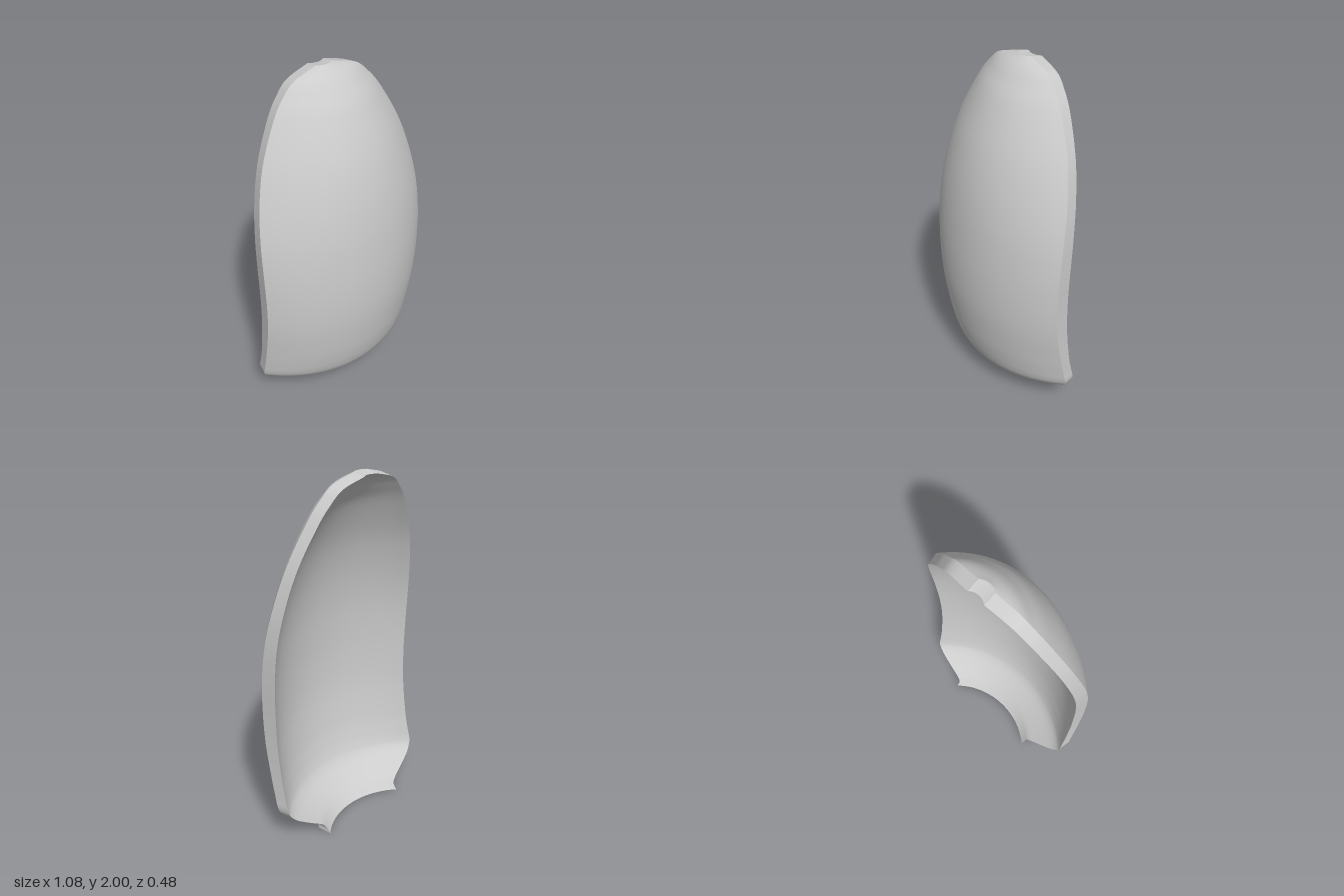
import * as THREE from 'three';

// Cross-sections from bottom to top:
// height, half width, front z (centre, edge), back z (centre, edge)
const SECTIONS = [
  [0, 0.3, -0.04, -0.155, -0.128, -0.236],
  [0.03, 0.304, -0.008, -0.143, -0.097, -0.211],
  [0.06, 0.33, 0.024, -0.131, -0.065, -0.2],
  [0.1, 0.402, 0.066, -0.116, -0.021, -0.184],
  [0.15, 0.485, 0.116, -0.1, 0.032, -0.165],
  [0.19, 0.525, 0.142, -0.086, 0.062, -0.151],
  [0.23, 0.538, 0.158, -0.074, 0.08, -0.142],
  [0.29, 0.538, 0.176, -0.058, 0.1, -0.126],
  [0.4, 0.538, 0.2, -0.033, 0.126, -0.102],
  [0.6, 0.538, 0.228, 0.004, 0.155, -0.076],
  [0.8, 0.538, 0.237, 0.017, 0.164, -0.068],
  [1.0, 0.538, 0.231, 0.01, 0.158, -0.073],
  [1.2, 0.528, 0.213, -0.014, 0.14, -0.09],
  [1.4, 0.496, 0.178, -0.052, 0.104, -0.12],
  [1.6, 0.437, 0.12, -0.092, 0.043, -0.155],
  [1.8, 0.336, 0.031, -0.13, -0.051, -0.194],
  [1.9, 0.26, -0.037, -0.148, -0.122, -0.213],
  [1.96, 0.188, -0.09, -0.157, -0.172, -0.225],
  [2.0, 0.05, -0.15, -0.169, -0.22, -0.238],
];

const curveThrough = (fn) =>
  new THREE.CatmullRomCurve3(SECTIONS.map(fn), false, 'catmullrom', 0.5);

// Normalised circular bulge: 0 at the centre line, 1 at the edge
const ARC = 0.7;
const sag = (s) => (1 - Math.sqrt(1 - (ARC * s) ** 2)) / (1 - Math.sqrt(1 - ARC * ARC));

// A curved face given by its centre line and edge line; inset narrows its outline
function face(centreIndex, edgeIndex, inset) {
  const height = (p) => p[0] - 0.5 * inset * Math.max(0, p[0] - 1);
  const centre = curveThrough((p) => new THREE.Vector3(0, height(p), p[centreIndex]));
  const edge = curveThrough((p) => new THREE.Vector3(p[1] * (1 - inset), height(p), p[edgeIndex]));
  return (s, t) => {
    const c = centre.getPoint(t);
    const e = edge.getPoint(t);
    return new THREE.Vector3(s * e.x, e.y, c.z + (e.z - c.z) * sag(s));
  };
}

// Grid patch over u, v in 0..1, facing along (du x dv)
function patch(name, nu, nv, fn, material) {
  const positions = [];
  const index = [];
  for (let j = 0; j <= nv; j++) {
    for (let i = 0; i <= nu; i++) positions.push(...fn(i / nu, j / nv).toArray());
  }
  for (let j = 0; j < nv; j++) {
    for (let i = 0; i < nu; i++) {
      const a = j * (nu + 1) + i;
      const b = a + nu + 1;
      index.push(a, a + 1, b + 1, a, b + 1, b);
    }
  }
  const geometry = new THREE.BufferGeometry();
  geometry.setAttribute('position', new THREE.Float32BufferAttribute(positions, 3));
  geometry.setIndex(index);
  geometry.computeVertexNormals();
  const mesh = new THREE.Mesh(geometry, material);
  mesh.name = name;
  return mesh;
}

export function createModel() {
  const group = new THREE.Group();
  group.name = 'curvedShell';
  const material = new THREE.MeshStandardMaterial({ color: 0xcccccc });
  const NX = 48;
  const NY = (SECTIONS.length - 1) * 5;

  const front = face(2, 3, 0);
  const back = face(4, 5, 0.025);
  const between = (s, t, k) => front(s, t).lerp(back(s, t), k);

  group.add(
    // Convex front and hollow back
    patch('frontShell', NX, NY, (u, v) => front(2 * u - 1, v), material),
    patch('backShell', NX, NY, (u, v) => back(1 - 2 * u, v), material),
    // Rim closing the shell all round
    patch('leftRim', 1, NY, (u, v) => between(1, v, u), material),
    patch('rightRim', 1, NY, (u, v) => between(-1, v, 1 - u), material),
    patch('topRim', NX, 1, (u, v) => between(2 * u - 1, 1, v), material),
    patch('bottomRim', NX, 1, (u, v) => between(2 * u - 1, 0, 1 - v), material),
  );
  return group;
}
